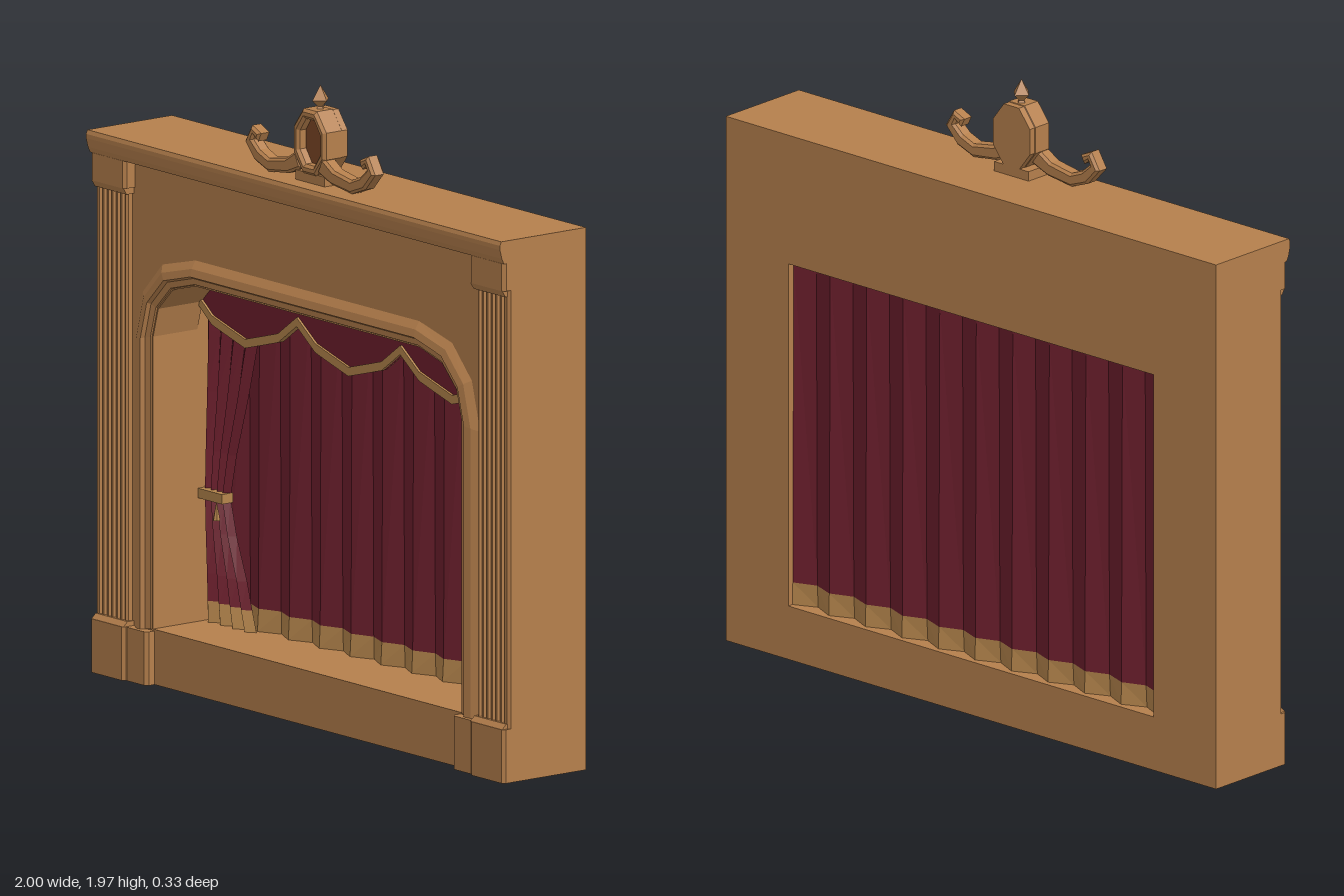
import * as THREE from 'three';

const material = (name, color) => {
  const m = new THREE.MeshStandardMaterial({ color, flatShading: true, side: THREE.DoubleSide });
  m.name = name;
  return m;
};

export function createModel() {
  const wood = material('wood', 0xb57f4c);
  const darkWood = material('dark wood', 0x7d4826);
  const velvet = material('red velvet', 0x6d1f2d);
  const trim = material('gold trim', 0xb5854c);
  const model = new THREE.Group();
  model.name = 'theatreStage';

  const add = (name, geometry, mat, parent = model) => {
    const mesh = new THREE.Mesh(geometry, mat);
    mesh.name = name;
    parent.add(mesh);
  };
  const poly = (pts) => new THREE.Shape(pts.map(([x, y]) => new THREE.Vector2(x, y)));
  const box = (x0, x1, y0, y1, z0, z1) =>
    new THREE.BoxGeometry(x1 - x0, y1 - y0, z1 - z0)
      .translate((x0 + x1) / 2, (y0 + y1) / 2, (z0 + z1) / 2);
  // Extrudes a shape from z0 to z1, with an optional inward chamfer
  const extrude = (shape, z0, z1, bevel = 0) =>
    new THREE.ExtrudeGeometry(shape, {
      depth: z1 - z0 - 2 * bevel, bevelEnabled: bevel > 0, bevelSegments: 1,
      bevelThickness: bevel, bevelSize: bevel, bevelOffset: -bevel,
    }).translate(0, 0, z0 + bevel);
  // Extrudes a [z, y] profile along x
  const alongX = (profile, x0, x1) => extrude(poly(profile), 0, x1 - x0).rotateY(-Math.PI / 2).translate(x1, 0, 0);
  // Faceted sheet from a point rule f(i, j)
  const sheet = (nu, nv, f) => {
    const pos = [], idx = [];
    for (let j = 0; j <= nv; j++) for (let i = 0; i <= nu; i++) pos.push(...f(i, j));
    for (let j = 0; j < nv; j++) for (let i = 0; i < nu; i++) {
      const a = j * (nu + 1) + i, b = a + nu + 1;
      idx.push(a, a + 1, b + 1, a, b + 1, b);
    }
    const g = new THREE.BufferGeometry();
    g.setAttribute('position', new THREE.Float32BufferAttribute(pos, 3));
    g.setIndex(idx);
    const flat = g.toNonIndexed();
    flat.computeVertexNormals();
    return flat;
  };

  // Arch outlines, mirrored from the model's left half
  const mirrored = (half) => [...half, ...half.slice().reverse().map(([x, y]) => [-x, y])];
  const inner = mirrored([[0.745, 0.17], [0.745, 1.07], [0.72, 1.16], [0.65, 1.23], [0.54, 1.26]]);
  const outer = mirrored([[0.835, 0.16], [0.835, 1.05], [0.795, 1.2], [0.7, 1.3], [0.54, 1.34]]);

  // Body: arched front and square-cut back
  const wall = (hole, z0, z1) => {
    const s = poly([[-1, 0], [1, 0], [1, 1.67], [-1, 1.67]]);
    s.holes.push(poly(hole));
    return extrude(s, z0, z1);
  };
  add('frontWall', wall(inner, -0.06, 0.11), wood);
  add('backWall', wall([[0.745, 0.17], [0.745, 1.26], [-0.745, 1.26], [-0.745, 0.17]], -0.165, -0.06), wood);

  // Raised arch moulding: [inner-to-outer fraction, z]
  const section = [[0, 0.1], [0.08, 0.115], [0.32, 0.119], [0.4, 0.131], [0.7, 0.126], [1, 0.11]];
  add('archMoulding', sheet(inner.length - 1, section.length - 1, (i, j) => {
    const [t, z] = section[j], a = inner[i], b = outer[i];
    return [a[0] + (b[0] - a[0]) * t, a[1] + (b[1] - a[1]) * t, z];
  }), wood);

  // Cornice
  add('cornice', alongX([[0.1, 1.6], [0.15, 1.6], [0.158, 1.617], [0.165, 1.645],
    [0.165, 1.658], [0.16, 1.67], [0.1, 1.67]], -1, 1), wood);

  // Fluted pilaster section in [x, -z], grooves cut between ridges
  const flutes = [[0.845, -0.1], [0.845, -0.125], [0.853, -0.131]];
  const count = 6, pitch = 0.13 / count;
  for (let i = 0; i < count; i++) {
    const x = 0.855 + i * pitch;
    flutes.push([x, -0.131], [x + pitch * 0.25, -0.111], [x + pitch * 0.45, -0.111], [x + pitch * 0.7, -0.131]);
  }
  flutes.push([0.99, -0.131], [1, -0.123], [1, -0.1]);

  // Block with chamfered front corners, in [x, -z]
  const block = (x0, x1, z, c) =>
    [[x0, -0.1], [x0, c - z], [x0 + c, -z], [x1 - c, -z], [x1, c - z], [x1, -0.1]];

  for (const side of [1, -1]) {
    const prefix = side > 0 ? 'left' : 'right';
    const upright = (pts, y0, y1) =>
      extrude(poly(pts.map(([x, z]) => [side * x, z])), y0, y1).rotateX(-Math.PI / 2);
    const [c0, c1] = side > 0 ? [0.838, 0.992] : [-0.992, -0.838];
    add(prefix + 'PilasterBase', upright(block(0.835, 1, 0.152, 0.01), 0, 0.165), wood);
    add(prefix + 'BaseCap', alongX([[0.1, 0.165], [0.15, 0.165], [0.135, 0.18], [0.1, 0.18]], c0, c1), wood);
    add(prefix + 'PilasterCapital', upright(block(0.832, 1, 0.151, 0.01), 1.515, 1.6), wood);
    add(prefix + 'CapitalNeck', alongX([[0.1, 1.495], [0.138, 1.495], [0.15, 1.515], [0.1, 1.515]], c0, c1), wood);
    add(prefix + 'Pilaster', upright(flutes, 0.16, 1.52), wood);
    add(prefix + 'ArchPlinth', upright(block(0.738, 0.84, 0.142, 0.01), 0, 0.165), wood);
  }

  // Pleated back curtain with a trimmed hem, folds deepening downward: [y, back z, front z]
  const pleats = (rows) => sheet(20, 1, (i, j) =>
    [-0.745 + i * 0.0745, rows[j][0], rows[j][i % 2 ? 2 : 1]]);
  add('backCurtain', pleats([[0.24, -0.145, -0.117], [1.26, -0.141, -0.121]]), velvet);
  add('backCurtainHem', pleats([[0.17, -0.147, -0.113], [0.24, -0.145, -0.117]]), trim);

  // Tied side curtains: [y, inner edge x]
  const drape = [[1.25, 0.49], [1.07, 0.5], [0.88, 0.55], [0.7, 0.605], [0.565, 0.635], [0.45, 0.605], [0.32, 0.555], [0.235, 0.53]];
  const hem = [[0.235, 0.53], [0.17, 0.51]];
  for (const side of [1, -1]) {
    const prefix = side > 0 ? 'left' : 'right';
    const folds = (rows) => sheet(8, rows.length - 1, (i, j) => {
      const [y, edge] = rows[j];
      return [side * (edge + (0.745 - edge) * i / 8), y, i % 2 ? -0.078 : -0.1];
    });
    add(prefix + 'Curtain', folds(drape), velvet);
    add(prefix + 'CurtainHem', folds(hem), trim);
    const tie = new THREE.Group();
    tie.name = prefix + 'Tieback';
    model.add(tie);
    add('band', box(-0.058, 0.058, 0.55, 0.58, -0.105, -0.062).translate(side * 0.687, 0, 0), trim, tie);
    add('tassel', new THREE.ConeGeometry(0.012, 0.06, 6).translate(side * 0.66, 0.525, -0.066), trim, tie);
  }

  // Scalloped valance and its border
  const swag = [];
  for (const cx of [-0.5, 0, 0.5])
    for (const [dx, y] of [[-0.25, 1.165], [-0.16, 1.1], [-0.09, 1.08], [0, 1.055], [0.09, 1.08], [0.16, 1.1], [0.25, 1.165]])
      if (dx > -0.25 || cx < 0) swag.push([Math.max(-0.745, Math.min(0.745, cx + dx)), y]);
  add('valance', extrude(poly([...swag, [0.745, 1.26], [-0.745, 1.26]]), -0.065, -0.055), velvet);
  add('valanceBorder', extrude(poly([...swag, ...swag.slice().reverse().map(([x, y]) => [x, y + 0.028])]), -0.069, -0.047), trim);

  // Crest
  const crest = new THREE.Group();
  crest.name = 'crest';
  model.add(crest);
  add('crestBase', box(-0.07, 0.07, 1.67, 1.7, 0.015, 0.1), wood, crest);
  const oval = (rx, ry) => Array.from({ length: 8 }, (_, i) => {
    const a = (i + 0.5) * Math.PI / 4;
    return [rx * Math.cos(a) / 0.924, 1.795 + ry * Math.sin(a) / 0.924];
  });
  const ring = poly(oval(0.077, 0.1));
  ring.holes.push(poly(oval(0.05, 0.07)));
  add('medallionRing', extrude(ring, 0.03, 0.107, 0.009), wood, crest);
  add('medallionBack', extrude(poly(oval(0.075, 0.098)), 0.015, 0.05), wood, crest);
  add('medallionFace', extrude(poly(oval(0.056, 0.076)), 0.05, 0.075), darkWood, crest);
  add('finial', new THREE.LatheGeometry([[0, 1.885], [0.017, 1.89], [0.01, 1.902], [0.031, 1.922], [0, 1.968]]
    .map(([x, y]) => new THREE.Vector2(x, y)), 4).translate(0, 0, 0.06), wood, crest);

  // Scrolls: chamfered ribbon around a centre line [x, y, half width]
  const line = [[0.05, 1.735, 0.028], [0.11, 1.705, 0.023], [0.2, 1.692, 0.021], [0.255, 1.713, 0.021],
    [0.294, 1.752, 0.02], [0.275, 1.784, 0.017], [0.245, 1.768, 0.015]];
  for (const side of [1, -1]) {
    const edge = (s) => line.map(([x, y, w], i) => {
      const a = line[Math.max(0, i - 1)], b = line[Math.min(line.length - 1, i + 1)];
      const dx = b[0] - a[0], dy = b[1] - a[1], l = Math.hypot(dx, dy);
      return [side * (x - s * w * dy / l), y + s * w * dx / l];
    });
    add(side > 0 ? 'leftScroll' : 'rightScroll',
      extrude(poly([...edge(1), ...edge(-1).reverse()]), 0.058, 0.106, 0.008), wood, crest);
  }

  return model;
}
